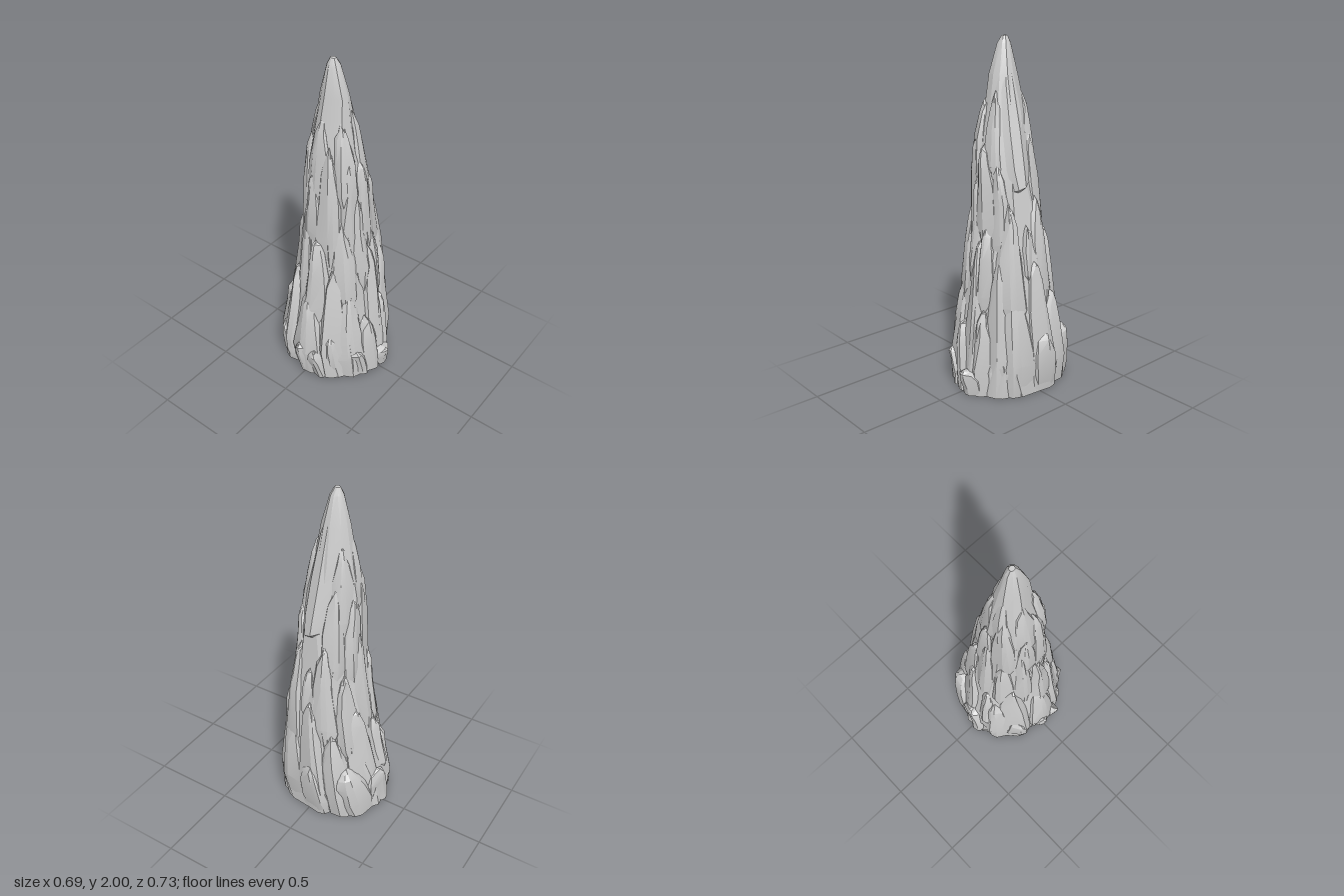
import * as THREE from 'three';
import { mergeVertices, toCreasedNormals } from 'three/addons/utils/BufferGeometryUtils.js';

const material = new THREE.MeshStandardMaterial({ color: 0xcccccc });

// Outer envelope of the spire: height, centre x, centre z, radius x, radius z
const ENVELOPE = [
  [0, 0, 0, 0.325, 0.365], [0.15, 0, 0, 0.355, 0.36], [0.3, 0, 0.005, 0.335, 0.325],
  [0.6, 0.015, 0.015, 0.278, 0.27], [0.8, 0.015, 0.02, 0.25, 0.24], [1, 0.01, 0.01, 0.222, 0.205],
  [1.2, 0.003, 0.013, 0.196, 0.19], [1.4, -0.01, 0.013, 0.16, 0.177], [1.6, -0.008, 0.004, 0.12, 0.13],
  [1.8, -0.016, 0.008, 0.068, 0.082], [1.96, -0.018, 0, 0.034, 0.038], [2, -0.018, -0.004, 0.014, 0.016],
];

function seeded(seed) {
  return () => {
    seed = (seed * 16807) % 2147483647;
    return seed / 2147483647;
  };
}

// Point at a height and angle (0 = front, 90 = +x), scaled towards the axis by k
function envelopePoint(y, degrees, k) {
  let i = 0;
  while (i < ENVELOPE.length - 2 && y > ENVELOPE[i + 1][0]) i++;
  const a = ENVELOPE[i], b = ENVELOPE[i + 1];
  const t = (y - a[0]) / (b[0] - a[0]);
  const [cx, cz, rx, rz] = [1, 2, 3, 4].map((n) => a[n] + (b[n] - a[n]) * t);
  const angle = THREE.MathUtils.degToRad(degrees);
  return [cx + Math.sin(angle) * rx * k, y, cz + Math.cos(angle) * rz * k];
}

// Skin a stack of rings and close both ends
function loft(rings, crease) {
  const n = rings[0].length;
  const index = [];
  for (let i = 0; i < rings.length - 1; i++) {
    for (let j = 0; j < n; j++) {
      const a = i * n + j, b = i * n + ((j + 1) % n);
      index.push(a, b, b + n, a, b + n, a + n);
    }
  }
  const top = (rings.length - 1) * n;
  for (let j = 1; j < n - 1; j++) {
    index.push(0, j + 1, j, top, top + j, top + j + 1);
  }
  const geometry = new THREE.BufferGeometry();
  geometry.setAttribute('position', new THREE.Float32BufferAttribute(rings.flat(2), 3));
  geometry.setIndex(index);
  return toCreasedNormals(mergeVertices(geometry), crease);
}

// Irregular tapering column, full width near the tip and recessed below the shards
function coreGeometry() {
  const random = seeded(41);
  const heights = [0, 0.15, 0.35, 0.6, 0.8, 1, 1.2, 1.4, 1.6, 1.8, 1.96, 2];
  const sides = 11;
  const flutes = Array.from({ length: sides }, () => (random() - 0.5) * 0.12);
  return loft(heights.map((y) => {
    const k = y > 1.7 ? 1 : 0.88;
    return Array.from({ length: sides }, (_, j) => envelopePoint(
      y, (j + (random() - 0.5) * 0.4) * 360 / sides, k + flutes[j] + (random() - 0.5) * 0.06,
    ));
  }), 0.4);
}

// Upright slab hugging the column: faceted front, buried back, overhanging pointed top
function shardGeometry(angle, y0, y1, halfWidth, reach, seed) {
  const random = seeded(seed * 977 + 13);
  const lean = (random() - 0.5) * halfWidth * 0.9;
  const ridge = (random() - 0.5) * 0.8;
  const across = [[-1, 0.83], [-0.75, 0.93], [ridge - 0.15, 1], [ridge + 0.2, 0.995], [0.75, 0.93], [1, 0.83]];
  // fraction of height, width, reach
  const stages = [
    y0 > 0 ? [0, 0.2, 0.82] : [0, 0.95, 0.97],
    [0.3, 1, 0.98], [0.65, 0.88, 1.01], [0.86, 0.6, 1.03], [0.95, 0.36, 0.99], [1, 0.16, 0.86],
  ];
  return loft(stages.map(([t, width, out]) => {
    const middle = angle + lean * t;
    const y = y0 + (y1 - y0) * t;
    const ring = across.map(([u, depth]) => {
      const drop = t > 0 ? Math.abs(u) * 0.07 * (y1 - y0) * random() : 0;
      const side = u * halfWidth * width * (0.88 + random() * 0.24);
      return envelopePoint(y - drop, middle + side, reach * out * depth * (0.98 + random() * 0.04));
    });
    ring.push(envelopePoint(y, middle, 0.55));
    return ring;
  }), 0.4);
}

// angle, bottom, top, half width in degrees, reach
const SHARDS = {
  baseShard: [
    [13, 0, 0.15, 16, 1.01], [-7, 0, 0.42, 15, 0.96], [24, 0, 0.52, 15, 0.95], [45, 0, 0.3, 15, 0.92],
    [66, 0, 0.68, 22, 0.98], [101, 0, 0.38, 19, 0.99], [146, 0, 0.36, 24, 1.05],
    [181, 0, 0.28, 20, 1.01], [212, 0, 0.5, 21, 0.99], [240, 0, 0.3, 18, 0.98],
    [270, 0, 0.25, 12, 1], [286, 0, 0.22, 11, 1.0], [306, 0, 0.34, 15, 0.93], [334, 0, 0.22, 16, 0.94],
  ],
  lowerShard: [
    [-32, 0, 0.62, 22, 0.94], [5, 0, 0.92, 16, 0.95], [46, 0, 0.82, 21, 0.97], [97, 0, 0.81, 20, 1.0],
    [128, 0, 0.6, 18, 1.02], [165, 0, 0.74, 26, 0.99], [196, 0.1, 0.6, 14, 1.0],
    [232, 0, 0.72, 24, 1.0], [272, 0, 0.62, 22, 0.99], [304, 0, 0.8, 20, 0.96],
  ],
  middleShard: [
    [58, 0.3, 1.12, 22, 1.04], [20, 0.4, 1.02, 17, 0.95], [-10, 0.55, 1.25, 19, 0.97],
    [86, 0.6, 1.0, 14, 0.96], [114, 0.4, 1.16, 22, 1.01], [150, 0.3, 0.96, 22, 1.0],
    [182, 0.4, 1.22, 23, 0.99], [216, 0.4, 1.04, 22, 1.0], [246, 0.4, 1.2, 18, 0.98],
    [276, 0.3, 0.98, 22, 1.02], [318, 0.4, 1.1, 23, 0.97],
  ],
  upperShard: [
    [12, 0.8, 1.44, 26, 1.0], [40, 0.7, 1.34, 20, 0.98], [-26, 0.8, 1.5, 22, 0.98], [126, 0.8, 1.5, 27, 0.98],
    [168, 0.8, 1.42, 24, 1.0], [212, 0.75, 1.6, 30, 1.0], [256, 0.85, 1.38, 22, 1.0],
    [292, 0.75, 1.54, 28, 1.0],
  ],
  summitShard: [
    [-34, 1.1, 1.68, 30, 1.03], [24, 1.15, 1.72, 26, 0.99], [146, 1.1, 1.72, 34, 1.0],
    [198, 1.2, 1.78, 28, 0.99], [262, 1.1, 1.7, 34, 1.0],
  ],
};

// Long wedge running down the +x side and ending in an overhanging ledge
function wedgeGeometry() {
  const stages = [[1.17, 14, 0.8], [1.2, 19, 1.03], [1.3, 26, 1.05], [1.5, 32, 1.03], [1.75, 38, 1.02], [1.93, 26, 0.95]];
  return loft(stages.map(([y, width, reach]) => {
    const ring = [[-1, 0.86], [-0.5, 0.98], [0.2, 1], [1, 0.86]]
      .map(([u, depth]) => envelopePoint(y + (y < 1.25 ? u * 0.02 : 0), 80 + u * width, reach * depth));
    ring.push(envelopePoint(y, 80, 0.4));
    return ring;
  }), 0.3);
}

export function createModel() {
  const group = new THREE.Group();
  group.name = 'rockSpire';
  const add = (name, geometry) => {
    const mesh = new THREE.Mesh(geometry, material);
    mesh.name = name;
    group.add(mesh);
  };

  add('core', coreGeometry());
  add('overhangingWedge', wedgeGeometry());

  let seed = 1;
  for (const [name, shards] of Object.entries(SHARDS)) {
    shards.forEach((shard, i) => add(`${name}${i + 1}`, shardGeometry(...shard, seed++)));
  }
  return group;
}
